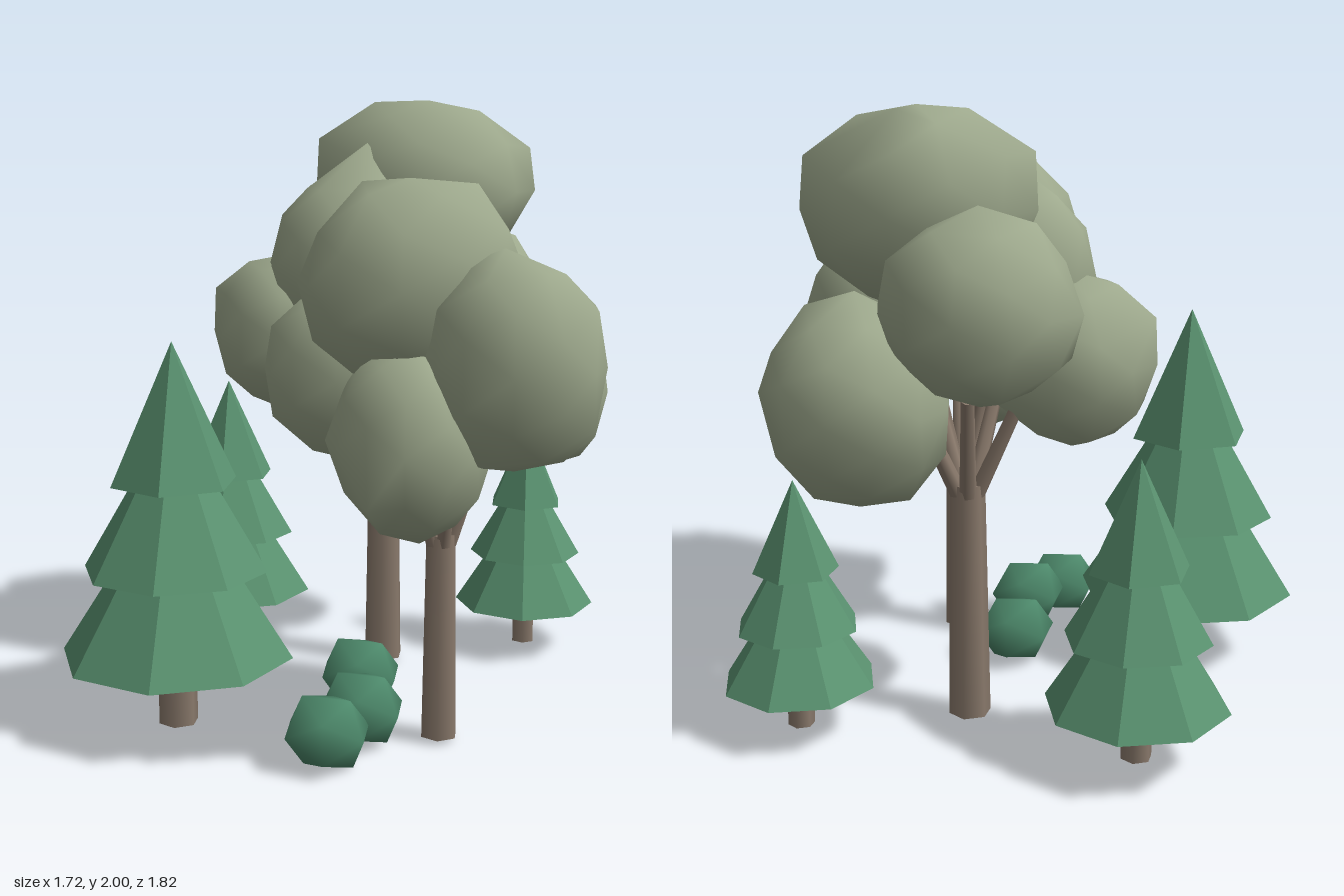
import * as THREE from 'three';
import { mergeVertices } from 'three/addons/utils/BufferGeometryUtils.js';

const mat = (name, color) => {
  const m = new THREE.MeshStandardMaterial({ color });
  m.name = name;
  return m;
};

// Small seeded random generator
function seeded(seed) {
  let s = seed * 7919 + 17;
  return () => (s = (s * 16807) % 2147483647) / 2147483647;
}

// Smooth-shaded roughened icosphere filling a box of the given half sizes.
// Each corner (relative to the centre) draws the nearest vertex out to it.
function lump(detail, rough, seed, [rx, ry, rz], corners = []) {
  const rand = seeded(seed);
  let g = new THREE.IcosahedronGeometry(1, detail);
  g.deleteAttribute('normal');
  g.deleteAttribute('uv');
  g = mergeVertices(g, 1e-3);
  const p = g.attributes.position;
  const v = new THREE.Vector3();
  rand();
  for (let i = 0; i < p.count; i++) {
    v.fromBufferAttribute(p, i).multiplyScalar(1 + (rand() - 0.5) * 2 * rough);
    p.setXYZ(i, v.x, v.y, v.z);
  }
  g.center();
  g.boundingBox.getSize(v);
  g.scale((2 * rx) / v.x, (2 * ry) / v.y, (2 * rz) / v.z);
  for (const corner of corners) {
    const target = new THREE.Vector3(...corner);
    let nearest = 0;
    let best = Infinity;
    for (let i = 0; i < p.count; i++) {
      const d = v.fromBufferAttribute(p, i).distanceTo(target);
      if (d < best) [best, nearest] = [d, i];
    }
    p.setXYZ(nearest, ...corner);
  }
  g.computeVertexNormals();
  return g;
}

export function createModel() {
  const bark = mat('bark', 0x8a7a6c);
  const leaves = mat('sage leaves', 0x9ea98d);
  const needles = mat('pine needles', 0x5a9270);
  needles.flatShading = true;
  const shrub = mat('shrub green', 0x4d896b);
  const model = new THREE.Group();
  model.name = 'grove';

  const add = (parent, name, geometry, material, x = 0, y = 0, z = 0) => {
    const m = new THREE.Mesh(geometry, material);
    m.name = name;
    m.position.set(x, y, z);
    parent.add(m);
    return m;
  };

  // Pine: tiers as [bottom y, top y, bottom radius, top radius, sides], for a skirt radius of 1
  const tiers = [
    [0.61, 1.36, 1, 0.52, 8],
    [1.36, 2.11, 0.79, 0.35, 8],
    [2.11, 3.3, 0.547, 0, 6],
  ];
  function pine(x, z, size) {
    const g = new THREE.Group();
    g.name = 'pine';
    add(g, 'pineTrunk', new THREE.CylinderGeometry(0.172, 0.172, 0.7, 6), bark, 0, 0.35, 0);
    for (const [y0, y1, r0, r1, sides] of tiers)
      add(g, 'pineTier', new THREE.CylinderGeometry(r1, r0, y1 - y0, sides), needles, 0, (y0 + y1) / 2, 0);
    g.position.set(x, 0.02, z);
    g.scale.setScalar(size);
    model.add(g);
  }
  pine(-0.487, 0.382, 0.377);
  pine(-0.487, -0.507, 0.293);
  pine(0.608, -0.56, 0.251);

  // Branch: tapered rod between two points
  function branch(parent, a, b, r) {
    const dir = b.clone().sub(a);
    const mid = a.clone().add(b).multiplyScalar(0.5);
    const m = add(parent, 'branch', new THREE.CylinderGeometry(r * 0.75, r, dir.length(), 6), bark, mid.x, mid.y, mid.z);
    m.quaternion.setFromUnitVectors(new THREE.Vector3(0, 1, 0), dir.normalize());
  }

  // Leafy tree: trunk, fan of branches and leaf clumps { at, size, corners }
  function leafyTree({ x, z, top, radius, reach, rise, turn, seed, clumps }) {
    const g = new THREE.Group();
    g.name = 'leafyTree';
    add(g, 'trunk', new THREE.CylinderGeometry(radius * 0.82, radius, top - 0.02, 6), bark, x, (top + 0.02) / 2, z);
    for (let i = 0; i < 5; i++) {
      const t = (i / 5) * Math.PI * 2 + turn;
      const at = (r, y) => new THREE.Vector3(x + Math.sin(t) * r, y, z + Math.cos(t) * r);
      branch(g, at(radius * 0.45, top - 0.03), at(reach, top + rise), radius * 0.4);
    }
    clumps.forEach(({ at, size, corners }, i) =>
      add(g, 'leafClump', lump(1, 0.06, seed + i, size, corners), leaves, ...at));
    model.add(g);
  }
  leafyTree({
    x: 0.357, z: 0.387, top: 0.68, radius: 0.061, reach: 0.15, rise: 0.34, turn: 0.35, seed: 3,
    clumps: [
      { at: [0.28, 1.02, 0.645], size: [0.25, 0.28, 0.245], corners: [[0.03, -0.3, 0.01], [-0.1, -0.15, 0.24]] },
      { at: [0.575, 1.255, 0.65], size: [0.265, 0.31, 0.26], corners: [[-0.03, 0.33, -0.03]] },
      { at: [0.63, 1.11, 0.235], size: [0.23, 0.25, 0.235], corners: [[0.15, -0.21, -0.02]] },
      { at: [0.27, 1.45, 0.485], size: [0.345, 0.325, 0.285], corners: [[-0.15, 0.315, 0], [0.19, 0.31, 0], [0, 0.21, -0.275]] },
      { at: [0.06, 1.17, 0.34], size: [0.26, 0.27, 0.25] },
      { at: [0.365, 1.36, 0.22], size: [0.32, 0.265, 0.21] },
    ],
  });
  leafyTree({
    x: 0.106, z: -0.332, top: 0.81, radius: 0.07, reach: 0.19, rise: 0.32, turn: 0.94, seed: 21,
    clumps: [
      { at: [0.238, 1.68, -0.39], size: [0.38, 0.32, 0.29], corners: [[-0.37, 0.19, 0], [0, 0.32, -0.19], [0.36, 0.16, -0.02], [-0.18, 0.315, -0.05]] },
      { at: [-0.21, 1.215, -0.235], size: [0.27, 0.285, 0.25], corners: [[-0.265, 0.145, -0.01], [0.05, 0.28, 0.03]] },
      { at: [-0.03, 1.445, -0.645], size: [0.31, 0.295, 0.265] },
      { at: [0.36, 1.135, -0.605], size: [0.285, 0.335, 0.295], corners: [[0.25, 0.05, -0.17]] },
      { at: [0.43, 1.32, -0.215], size: [0.26, 0.28, 0.23], corners: [[0.27, -0.02, 0.1]] },
      { at: [0.02, 1.46, -0.15], size: [0.29, 0.32, 0.245], corners: [[0.04, 0.4, -0.04]] },
    ],
  });

  // Row of low shrubs
  for (const [x, y, z] of [[0.033, 0.117, 0.642], [0.12, 0.133, 0.475], [0.077, 0.125, 0.137]])
    add(model, 'shrub', lump(0, 0.06, 2, [0.122, 0.112, 0.12]), shrub, x, y, z);

  return model;
}
